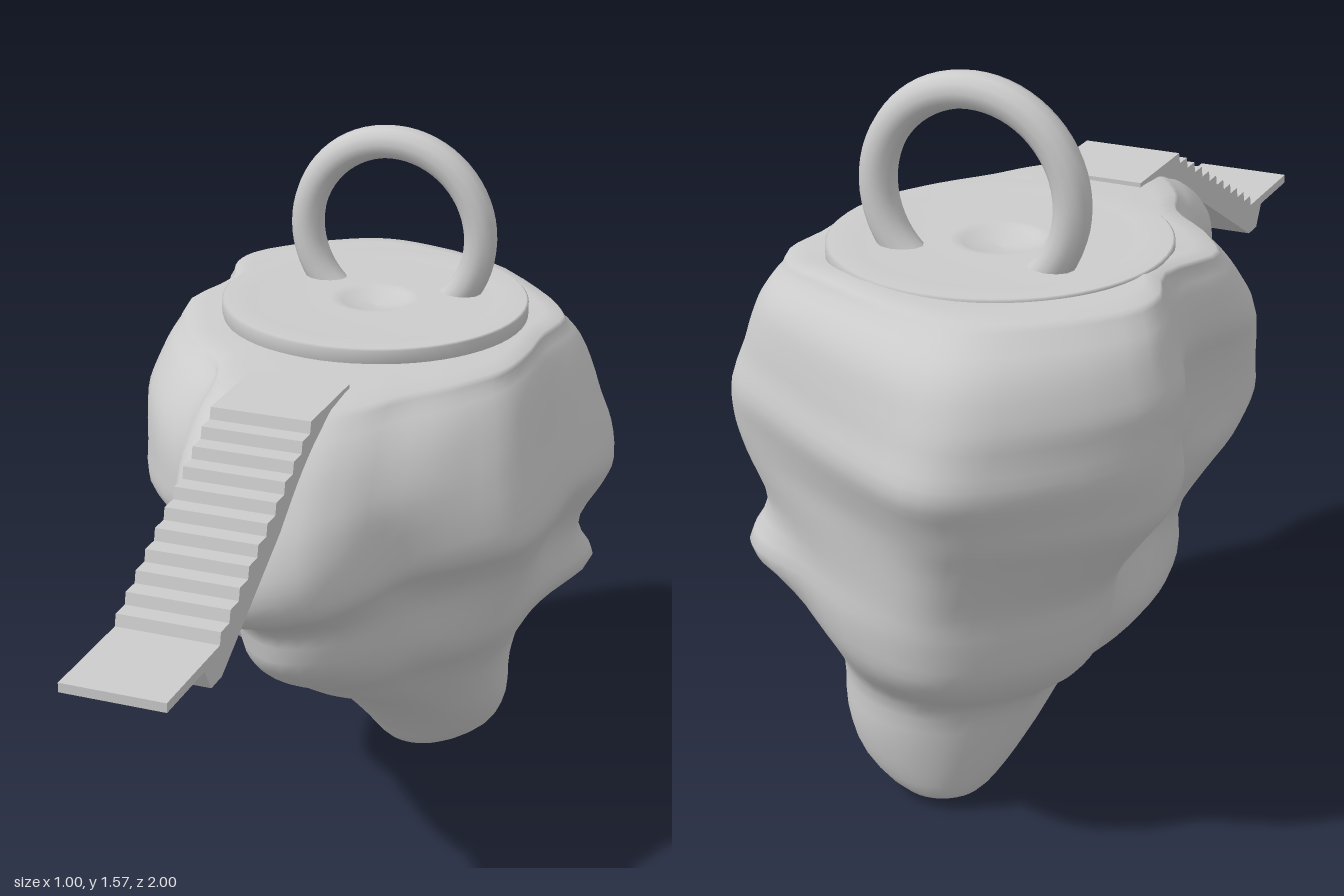
import * as THREE from 'three';

const material = new THREE.MeshStandardMaterial({ color: 0xcccccc });

function part(name, geometry) {
  const mesh = new THREE.Mesh(geometry, material);
  mesh.name = name;
  return mesh;
}

// Smooth interpolation through a list of rows
function sampleRows(rows, t) {
  const i = Math.min(Math.floor(t), rows.length - 2), f = t - i;
  const row = k => rows[Math.max(0, Math.min(rows.length - 1, k))];
  return rows[0].map((_, c) => {
    const [a, b, d, e] = [row(i - 1)[c], row(i)[c], row(i + 1)[c], row(i + 2)[c]];
    const m0 = (d - a) / 2, m1 = (e - b) / 2;
    return b + f * (m0 + f * (3 * (d - b) - 2 * m0 - m1 + f * (2 * (b - d) + m0 + m1)));
  });
}

// Boulder: a lobed plan outline stretched to fit the width and depth at each height
function rockGeometry() {
  const plan = [
    [-0.15, -1], [0, -0.95], [0.28, -0.79], [0.45, -0.67], [0.5, -0.56], [0.46, -0.36],
    [0.46, -0.2], [0.44, -0.03], [0.36, 0.1], [0.25, 0.23], [0.2, 0.38], [0.14, 0.49],
    [0, 0.57], [-0.12, 0.5], [-0.2, 0.33], [-0.23, 0.16], [-0.37, 0.05], [-0.49, -0.16],
    [-0.42, -0.38], [-0.5, -0.58], [-0.49, -0.71], [-0.27, -0.95]];
  const outline = new THREE.CatmullRomCurve3(
    plan.map(([x, z]) => new THREE.Vector3(x / 0.5, 0, (z + 0.215) / 0.785)), true);

  // y, left, right, back, front, roundness (0 = plan outline, 1 = ellipse)
  const levels = [
    [1.165, -0.03, -0.03, -0.4, -0.4, 0.5],
    [1.165, -0.4, 0.34, -0.79, 0.13, 0.4],
    [1.135, -0.45, 0.385, -0.87, 0.27, 0.25],
    [1.09, -0.48, 0.415, -0.94, 0.37, 0.2],
    [1.03, -0.5, 0.44, -0.97, 0.46, 0.12],
    [0.97, -0.495, 0.46, -0.985, 0.53, 0.05],
    [0.9, -0.49, 0.485, -1, 0.57, 0],
    [0.83, -0.49, 0.5, -0.97, 0.55, 0],
    [0.77, -0.475, 0.48, -0.945, 0.44, 0],
    [0.7, -0.43, 0.45, -0.92, 0.33, 0.1],
    [0.6, -0.37, 0.4, -0.9, 0.29, 0.25],
    [0.52, -0.36, 0.38, -0.89, 0.2, 0.4],
    [0.44, -0.345, 0.345, -0.86, 0.06, 0.55],
    [0.36, -0.29, 0.3, -0.8, -0.06, 0.7],
    [0.28, -0.2, 0.28, -0.72, -0.2, 0.85],
    [0.18, -0.15, 0.265, -0.7, -0.33, 1],
    [0.09, -0.1, 0.22, -0.68, -0.42, 1],
    [0.025, -0.05, 0.13, -0.65, -0.48, 1],
    [0, 0.01, 0.03, -0.58, -0.56, 1]];

  // Local bulges and hollows: angle, height, angular spread, height spread, amount
  const lobes = [
    [-0.4, 0.54, 0.3, 0.07, 0.19], [-0.1, 0.68, 0.4, 0.06, -0.04],
    [2.6, 0.45, 0.4, 0.09, 0.15], [2.15, 0.66, 0.3, 0.12, -0.04],
    [1.5, 0.62, 0.35, 0.05, 0.03], [0.8, 1.03, 0.28, 0.12, 0.07],
    [0.6, 0.55, 0.3, 0.08, 0.05], [-1.7, 0.4, 0.5, 0.06, 0.04]];
  const bulge = (a, y) => lobes.reduce((sum, [a0, y0, da, dy, amount]) => {
    const turn = Math.atan2(Math.sin(a - a0), Math.cos(a - a0)) / da;
    return sum + amount * Math.exp(-turn * turn - ((y - y0) / dy) ** 2);
  }, 1);

  const N = 72, STEPS = 3, rowCount = (levels.length - 1) * STEPS + 1;
  const ring = Array.from({ length: N }, (_, i) => outline.getPoint(i / N));
  const positions = [], index = [];
  for (let j = 0; j < rowCount; j++) {
    const [y, x0, x1, z0, z1, round] = sampleRows(levels, j / STEPS);
    // the crown rises at the back left
    const rim = THREE.MathUtils.smoothstep(y, 1.05, 1.15) * Math.min(1, j / STEPS);
    ring.forEach((p, i) => {
      const a = Math.atan2(p.z, p.x), lump = bulge(a, y);
      const u = THREE.MathUtils.lerp(p.x, Math.cos(a), round);
      const v = THREE.MathUtils.lerp(p.z, Math.sin(a), round);
      const lift = 0.032 * rim * THREE.MathUtils.smoothstep(-v - 0.5 * u, 0, 0.7);
      positions.push((x0 + x1) / 2 + u * lump * (x1 - x0) / 2, Math.max(0, y + lift),
        (z0 + z1) / 2 + v * lump * (z1 - z0) / 2);
      if (j < rowCount - 1) {
        const n = (i + 1) % N, r = j * N, s = r + N;
        index.push(r + i, r + n, s + n, r + i, s + n, s + i);
      }
    });
  }
  const geometry = new THREE.BufferGeometry();
  geometry.setAttribute('position', new THREE.Float32BufferAttribute(positions, 3));
  geometry.setIndex(index);
  geometry.computeVertexNormals();
  return geometry;
}

// Stairway: stepped side profile (z, y) with landings, extruded across its width
function stairsGeometry() {
  const shape = new THREE.Shape();
  shape.moveTo(0.06, 1.175);
  const steps = 11, run = 0.047, rise = 0.275 / steps;
  for (let i = 0; i < steps; i++) {
    const z = 0.28 + i * run;
    shape.lineTo(z, 1.175 - i * rise);
    shape.lineTo(z + 0.006, 1.175 - (i + 1) * rise);
  }
  [[1, 0.9], [1, 0.88], [0.83, 0.88], [0.8, 0.83], [0.75, 0.83], [0.28, 1.1], [0.06, 1.15]]
    .forEach(([z, y]) => shape.lineTo(z, y));
  return new THREE.ExtrudeGeometry(shape, { depth: 0.22, bevelEnabled: false })
    .rotateY(-Math.PI / 2).translate(0.08, 0, 0);
}

export function createModel() {
  const model = new THREE.Group();
  model.name = 'rockWithStairs';
  model.add(part('rock', rockGeometry()));
  model.add(part('stairs', stairsGeometry()));

  // Round platform with a shallow dish and a small central hollow
  const profile = [[0, 1.176], [0.04, 1.18], [0.075, 1.19], [0.085, 1.195], [0.1, 1.195],
    [0.26, 1.195], [0.275, 1.199], [0.34, 1.2], [0.345, 1.196], [0.345, 1.165], [0.33, 1.14]];
  const platform = part('platform', new THREE.LatheGeometry(
    profile.reverse().map(([r, y]) => new THREE.Vector2(r, y)), 64));
  platform.position.set(-0.035, 0, -0.41);
  model.add(platform);

  // Upright ring gate, its foot sunk into the platform
  const gate = part('ringGate', new THREE.TorusGeometry(0.207, 0.038, 12, 64));
  gate.position.set(-0.03, 1.32, -0.515);
  model.add(gate);
  return model;
}
